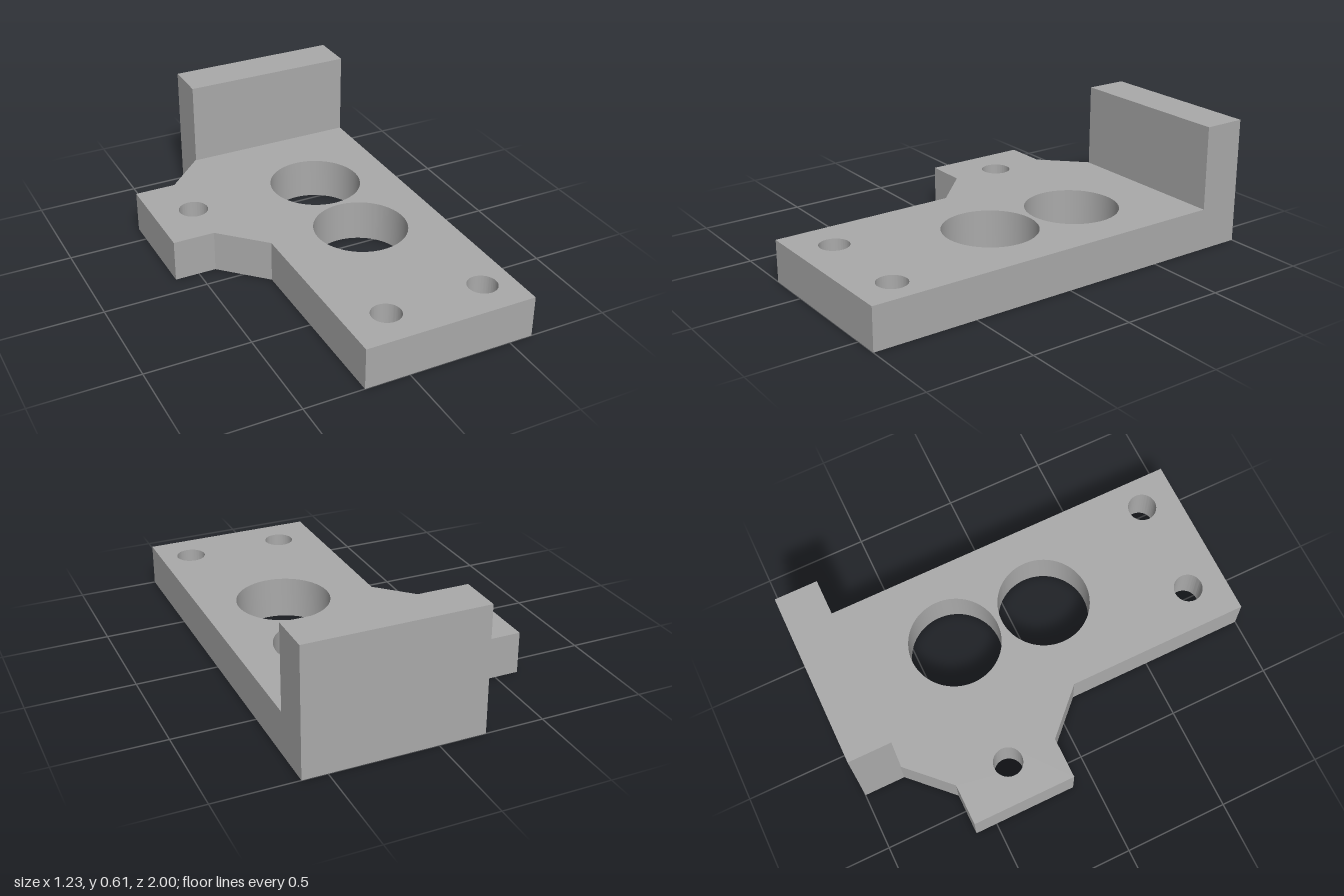
import * as THREE from 'three';
import { toCreasedNormals } from 'three/addons/utils/BufferGeometryUtils.js';

const PLATE_HEIGHT = 0.202;
const TOTAL_HEIGHT = 0.605;

export function createModel() {
  const model = new THREE.Group();
  model.name = 'mountingBracket';
  const metal = new THREE.MeshStandardMaterial({ color: 0xaaaaaa });
  metal.name = 'plain grey';

  // Base plate outline with a side ear, as [x, z]
  const outline = [
    [-0.215, 1], [0.615, 1], [0.615, -1], [-0.222, -1], [-0.222, -0.8],
    [-0.416, -0.605], [-0.616, -0.605], [-0.616, -0.1], [-0.416, -0.1], [-0.215, 0.1],
  ];
  const shape = new THREE.Shape(outline.map(([x, z]) => new THREE.Vector2(x, -z)));

  // Through holes: x, z, radius
  const holes = [
    [0.223, -0.318, 0.223], // large bores
    [0.223, 0.153, 0.223],
    [-0.42, -0.343, 0.07], // ear screw hole
    [-0.017, 0.816, 0.07], // front screw holes
    [0.465, 0.816, 0.07],
  ];
  for (const [x, z, r] of holes) {
    shape.holes.push(new THREE.Path().absarc(x, -z, r, 0, Math.PI * 2, true));
  }

  const plateGeometry = new THREE.ExtrudeGeometry(shape, {
    depth: PLATE_HEIGHT, bevelEnabled: false, curveSegments: 64,
  });
  plateGeometry.rotateX(-Math.PI / 2);
  const plate = new THREE.Mesh(toCreasedNormals(plateGeometry, 0.5), metal);
  plate.name = 'basePlate';
  model.add(plate);

  // Upright wall along the back edge
  const wallHeight = TOTAL_HEIGHT - PLATE_HEIGHT;
  const wall = new THREE.Mesh(new THREE.BoxGeometry(0.837, wallHeight, 0.204), metal);
  wall.position.set(0.1965, PLATE_HEIGHT + wallHeight / 2, -0.898);
  wall.name = 'backWall';
  model.add(wall);

  return model;
}
